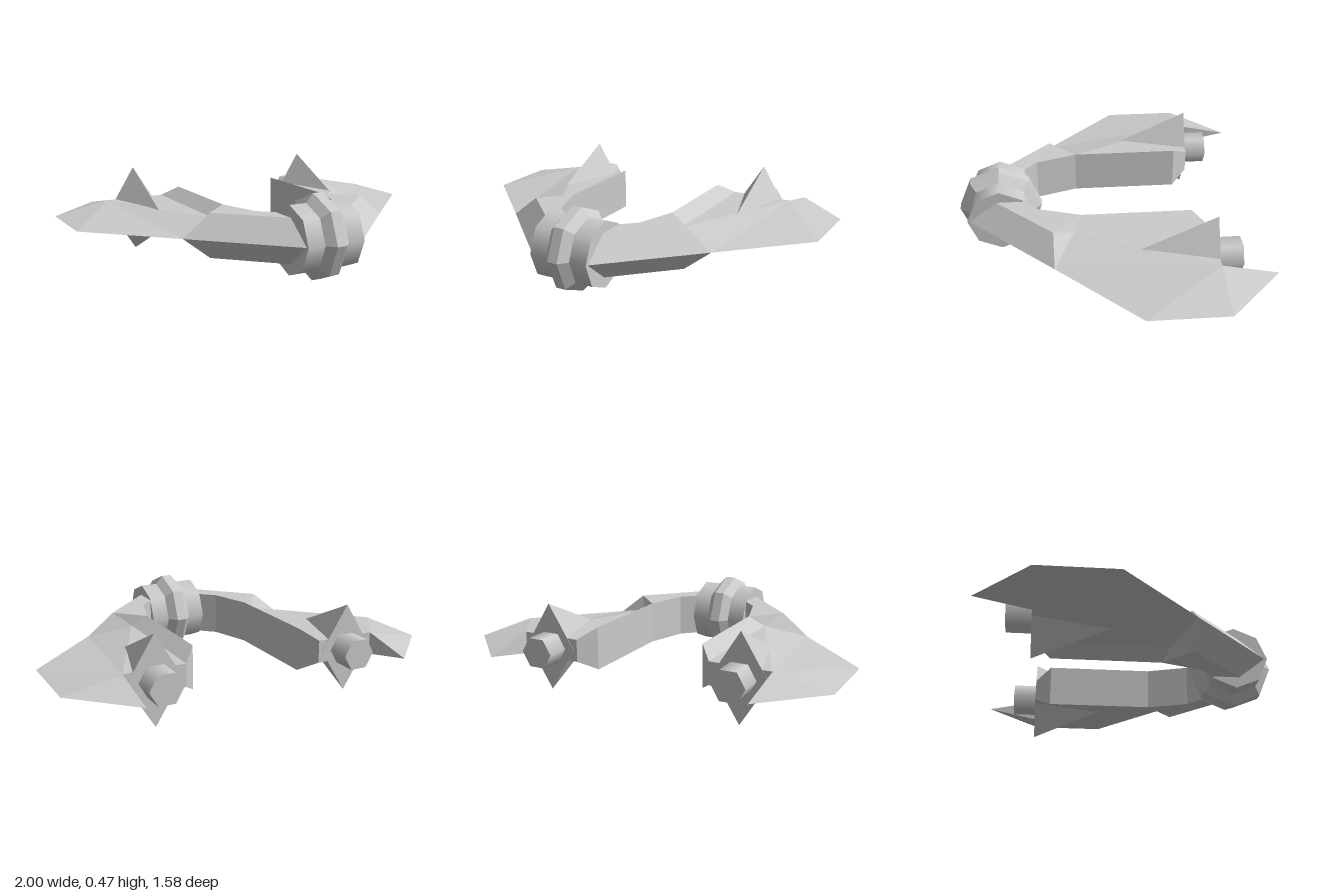
import * as THREE from 'three';

const MID = 0.235; // height of the horizontal symmetry plane
const HUB_Z = 0.57;
const BACK = -0.505;

const smooth = new THREE.MeshStandardMaterial({ color: 0xcccccc });
const flat = new THREE.MeshStandardMaterial({ color: 0xcccccc, flatShading: true });

function add(parent, name, geometry, material, x = 0, y = 0, z = 0) {
  const mesh = new THREE.Mesh(geometry, material);
  mesh.name = name;
  mesh.position.set(x, y, z);
  parent.add(mesh);
  return mesh;
}

// Faces given for the upper +x quarter are mirrored below, and to the chosen side.
function mirroredFaces(faces, side) {
  const out = [];
  for (const face of faces) {
    for (const up of [1, -1]) {
      for (let i = 1; i < face.length - 1; i++) {
        const tri = [face[0], face[i], face[i + 1]];
        if (side * up < 0) tri.reverse();
        for (const [x, y, z] of tri) out.push(x * side, y * up, z);
      }
    }
  }
  const geometry = new THREE.BufferGeometry();
  geometry.setAttribute('position', new THREE.Float32BufferAttribute(out, 3));
  geometry.computeVertexNormals();
  return geometry;
}

// Vertical walls from a line of top corners down to the symmetry plane
function walls(line) {
  const low = ([x, , z]) => [x, 0, z];
  return line.slice(1).map((b, i) => [line[i], b, low(b), low(line[i])]);
}

// Corners, heights measured from the symmetry plane
const inner = [[0.15, 0.115, 0.45], [0.235, 0.115, 0.37], [0.305, 0.115, 0.15], [0.305, 0.115, -0.42]];
const ridgeStart = [0.15, 0.115, 0.595], ridgeEnd = [0.45, 0.115, 0.295];
const edgeStart = [0.15, 0, 0.74], edgeEnd = [0.595, 0, 0.295];
const plateFront = [0.38, 0.06, 0.19], plateBack = [0.38, 0.06, BACK];
const notch = [0.705, 0.06, BACK], tip = [0.705, 0, -0.79];

const armFaces = [
  [inner[1], inner[0], ridgeStart, ridgeEnd, inner[2]],
  [ridgeStart, edgeStart, edgeEnd, ridgeEnd],
  [ridgeEnd, edgeEnd, plateFront, inner[2]],
  ...walls(inner.slice(0, 3)),
];
const wingFaces = [
  [inner[2], plateFront, plateBack, inner[3]],
  [notch, plateBack, plateFront, edgeEnd, [1, 0, -0.105], [1, 0, BACK], tip],
  ...walls([inner[2], inner[3], plateBack, notch, tip]),
];

export function createModel() {
  const model = new THREE.Group();
  model.name = 'craft';

  // Octagonal hub lying across the nose
  const hub = new THREE.Group();
  hub.name = 'hub';
  hub.position.set(0, MID, HUB_Z);
  model.add(hub);
  const drum = new THREE.CylinderGeometry(0.175, 0.175, 0.32, 8).rotateZ(Math.PI / 2);
  add(hub, 'hubDrum', drum, smooth);
  const profile = [[0.17, -0.07], [0.22, -0.027], [0.22, 0.027], [0.17, 0.07]];
  const ring = new THREE.LatheGeometry(profile.map(([r, y]) => new THREE.Vector2(r, y)), 8);
  add(hub, 'hubRing', ring.rotateZ(Math.PI / 2), flat);

  // Each side: arm, wing, spike and nozzle
  for (const side of [1, -1]) {
    const half = new THREE.Group();
    half.name = side > 0 ? 'leftSide' : 'rightSide';
    half.position.y = MID;
    model.add(half);

    add(half, 'arm', mirroredFaces(armFaces, side), flat);
    add(half, 'wing', mirroredFaces(wingFaces, side), flat);

    // Four-sided spike pointing forward through the wing
    const spike = new THREE.ConeGeometry(1, 0.5, 4).rotateX(Math.PI / 2).scale(0.147, 0.234, 1);
    add(half, 'spike', spike, flat, side * 0.545, 0, BACK + 0.247);

    // Six-sided nozzle behind the spike
    const nozzle = new THREE.CylinderGeometry(0.088, 0.088, 0.15, 6, 1, false, Math.PI / 2)
      .rotateX(Math.PI / 2);
    add(half, 'nozzle', nozzle, smooth, side * 0.54, 0, -0.56);
  }
  return model;
}
